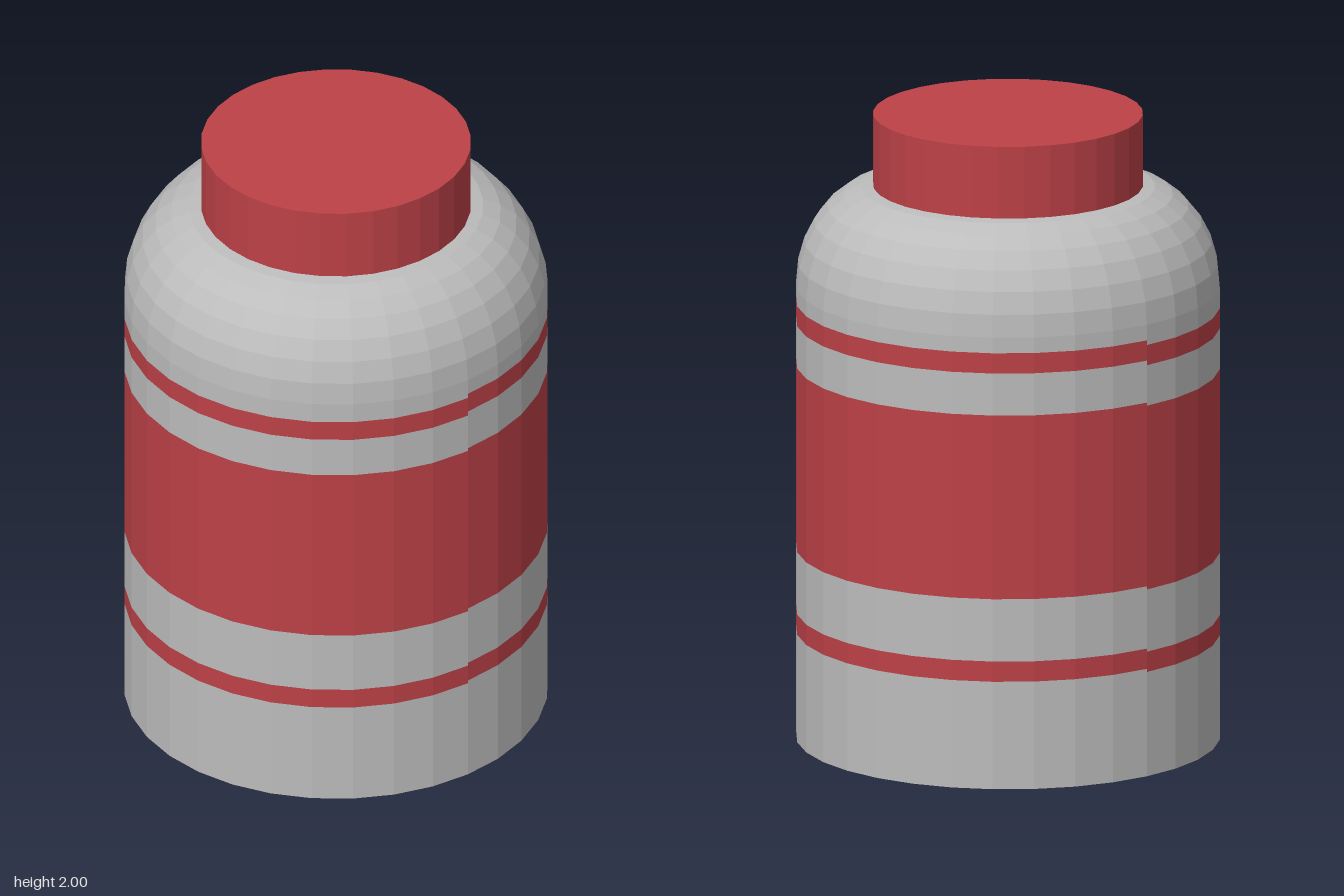
import * as THREE from 'three';

const SIDES = 32;
const R = 0.66;

export function createModel() {
  const model = new THREE.Group();
  model.name = 'bottle';
  const grey = new THREE.MeshStandardMaterial({ color: 0xbcbcbc, flatShading: true });
  grey.name = 'grey';
  const red = new THREE.MeshStandardMaterial({ color: 0xbc4147, flatShading: true });
  red.name = 'red';

  // Revolves [radius, height] pairs, all round or over part of the turn
  function lathe(name, profile, material, start = 0, sweep = Math.PI * 2) {
    const points = profile.map(([r, y]) => new THREE.Vector2(r, y));
    const sides = Math.round(SIDES * sweep / (Math.PI * 2));
    const mesh = new THREE.Mesh(new THREE.LatheGeometry(points, sides, start, sweep), material);
    mesh.name = name;
    model.add(mesh);
  }

  // Base disc
  lathe('base', [[0, 0], [R, 0]], grey);

  // Banded wall in two halves, whose bands meet slightly out of line
  const halves = [
    { name: 'left', start: Math.PI / 4, edges: [0, 0.345, 0.41, 0.61, 1.2, 1.335, 1.4, 1.45] },
    { name: 'right', start: Math.PI * 5 / 4, edges: [0, 0.335, 0.4, 0.6, 1.19, 1.32, 1.385, 1.45] },
  ];
  for (const { name, start, edges } of halves) {
    for (let i = 0; i < edges.length - 1; i++) {
      const painted = i % 2 === 1;
      lathe(`${name}${painted ? 'Band' : 'Wall'}${i}`, [[R, edges[i]], [R, edges[i + 1]]],
        painted ? red : grey, start, Math.PI);
    }
  }

  // Rounded shoulder, closed under the cap
  const shoulder = [];
  for (let i = 0; i <= 7; i++) {
    const a = (i / 7) * Math.PI / 2;
    shoulder.push([0.4 + 0.26 * Math.cos(a), 1.45 + 0.323 * Math.sin(a)]);
  }
  lathe('shoulder', shoulder, grey);

  // Cap
  const cap = new THREE.Mesh(new THREE.CylinderGeometry(0.42, 0.42, 0.23, SIDES), red);
  cap.position.y = 1.885;
  cap.name = 'cap';
  model.add(cap);

  return model;
}
